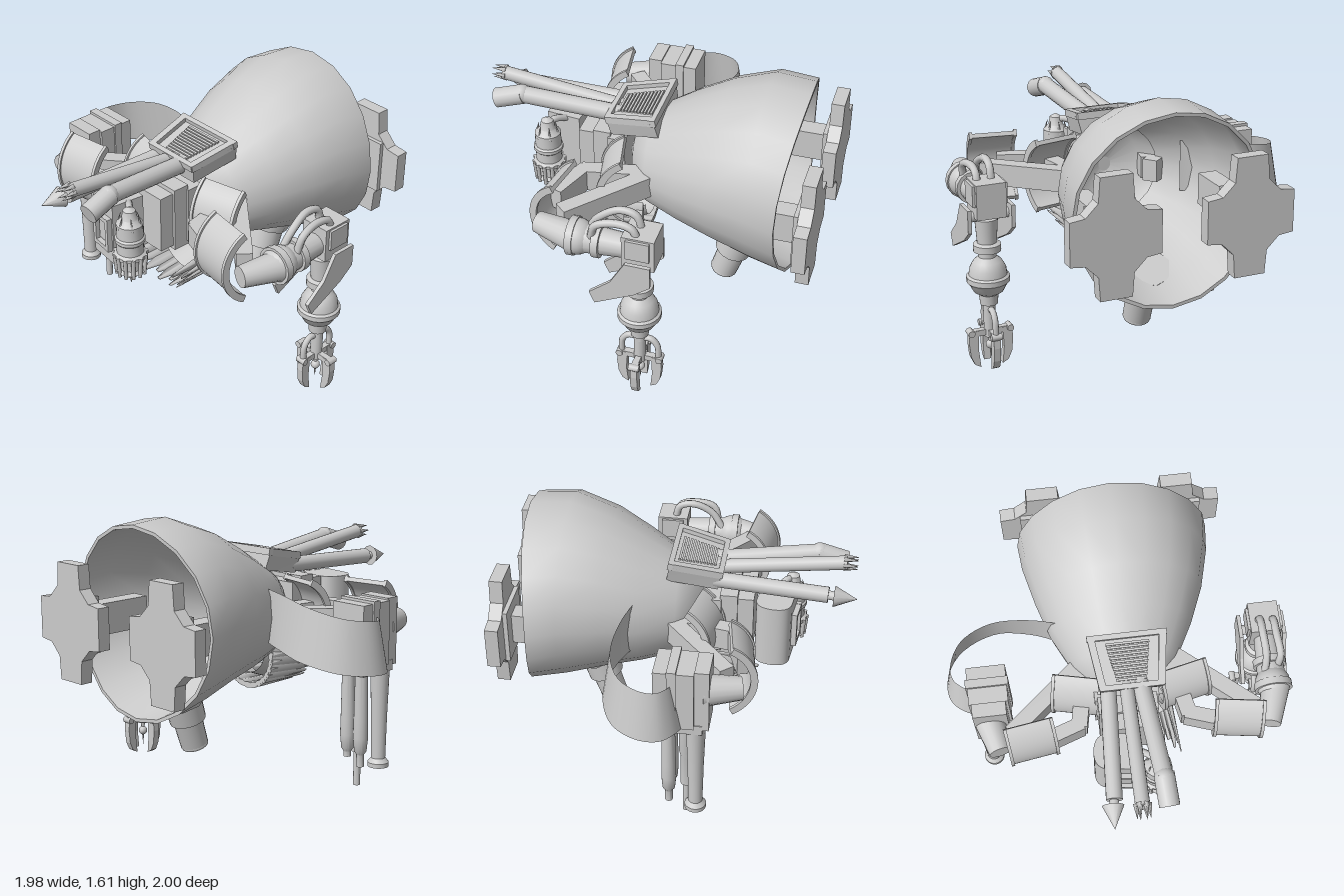
import * as THREE from 'three';
import { toCreasedNormals, mergeVertices } from 'three/addons/utils/BufferGeometryUtils.js';

const V = (x, y, z) => new THREE.Vector3(x, y, z);
const grey = new THREE.MeshStandardMaterial({ color: 0xcccccc, side: THREE.DoubleSide });

export function createModel() {
  const root = new THREE.Group();
  const CX = 0.05; // symmetry line of hull and arms

  const add = (name, geo, x = 0, y = 0, z = 0, parent = root) => {
    const m = new THREE.Mesh(geo, grey);
    m.name = name;
    m.position.set(x, y, z);
    parent.add(m);
    return m;
  };
  const box = (name, w, h, d, x, y, z, parent) => add(name, new THREE.BoxGeometry(w, h, d), x, y, z, parent);
  const aim = (m, axis, a, b) => {
    m.position.copy(a).add(b).multiplyScalar(0.5);
    m.quaternion.setFromUnitVectors(axis, b.clone().sub(a).normalize());
    return m;
  };
  const rod = (name, a, b, ra, rb = ra, sides = 16, parent = root) =>
    aim(add(name, new THREE.CylinderGeometry(rb, ra, a.distanceTo(b), sides), 0, 0, 0, parent), V(0, 1, 0), a, b);
  const bar = (name, a, b, w, h) => aim(add(name, new THREE.BoxGeometry(w, h, a.distanceTo(b))), V(0, 0, 1), a, b);
  const lathe = (name, pts, x, y, z, sides = 20) =>
    add(name, toCreasedNormals(new THREE.LatheGeometry(pts.map(p => new THREE.Vector2(...p)), sides), 0.6), x, y, z);
  const tube = (name, pts, r, parent) =>
    add(name, new THREE.TubeGeometry(new THREE.CatmullRomCurve3(pts), 20, r, 8), 0, 0, 0, parent);
  const polygon = pts => new THREE.Shape(pts.map(p => new THREE.Vector2(...p)));
  const extrude = (shape, depth) => new THREE.ExtrudeGeometry(shape, { depth, bevelEnabled: false, curveSegments: 14 });

  // Surface through rows of points
  const skin = rows => {
    const n = rows[0].length, index = [];
    for (let i = 0; i < rows.length - 1; i++)
      for (let j = 0; j < n - 1; j++) {
        const a = i * n + j, b = a + n;
        index.push(a, a + 1, b, b, a + 1, b + 1);
      }
    let g = new THREE.BufferGeometry().setFromPoints(rows.flat());
    g.setIndex(index);
    g = mergeVertices(g);
    g.computeVertexNormals();
    return g;
  };

  // Bell hull, open at the back: z, left, right, bottom, top
  const sections = [[-0.86, -0.5, 0.61, 0.5, 1.59], [-0.63, -0.485, 0.59, 0.55, 1.61], [-0.4, -0.43, 0.53, 0.62, 1.53],
    [-0.2, -0.365, 0.445, 0.67, 1.42], [0, -0.26, 0.335, 0.72, 1.3], [0.1, -0.17, 0.23, 0.77, 1.24], [0.16, 0.02, 0.03, 1, 1.01]];
  const hullRows = inset => sections.map(([z, l, r, b, t], i) => Array.from({ length: 21 }, (_, j) => {
    const a = j / 20 * Math.PI * 2, c = Math.cos(a), s = Math.sin(a);
    const wave = i === 0 ? 0.06 * c * c : 0;
    return V((l + r) / 2 + ((r - l) / 2 - inset) * c, (b + t) / 2 + ((t - b) / 2 - inset) * s, z + wave);
  }));
  add('hull', skin(hullRows(0)));
  add('hullLining', skin(hullRows(0.02).slice(0, 5)));
  add('hullRim', skin([hullRows(0)[0], hullRows(0.02)[0]]));

  // Rear cross-shaped thruster plates on struts
  const quarter = [[0.255, 0.12], [0.17, 0.13], [0.1, 0.2], [0.09, 0.335]];
  const flip = (sx, sy) => quarter.map(([x, y]) => [x * sx, y * sy]);
  const cross = polygon([...flip(1, 1), ...flip(-1, 1).reverse(), ...flip(-1, -1), ...flip(1, -1).reverse()]);
  for (const s of [-1, 1]) {
    const x = CX + 0.01 + s * 0.385;
    add('thrusterPlate', extrude(cross, 0.075), x, 1.015, -1);
    box('thrusterHub', 0.28, 0.32, 0.03, x, 1.015, -0.915);
    box('thrusterStrut', 0.11, 0.18, 0.43, x, 1.015, -0.7);
  }

  // Curved shield with raised rims, profile bulging to +z
  const arc = (r, t, w) => {
    const sh = new THREE.Shape();
    sh.absarc(0, 0, r, -1.1, 1.1, false);
    sh.absarc(0, 0, r - t, 1.1, -1.1, true);
    return toCreasedNormals(extrude(sh, w).translate(-0.235, 0, -w / 2).rotateY(-Math.PI / 2), 0.5);
  };
  const shield = (name, x, z, turn) => {
    const g = new THREE.Group();
    g.name = name;
    g.position.set(x, 1.005, z);
    g.rotation.y = turn;
    add('plate', arc(0.235, 0.025, 0.27), 0, 0, 0, g);
    for (const e of [-1, 1]) add('edge', arc(0.245, 0.04, 0.018), e * 0.13, 0, 0, g);
    root.add(g);
  };
  for (const s of [-1, 1]) {
    const X = d => CX + s * d;
    shield('outerShield', X(0.57), 0.48, -0.15 * s);
    shield('innerShield', X(0.32), 0.24, 0.22 * s);
    bar('armBar', V(X(0.22), 1, -0.06), V(X(0.69), 1, 0.34), 0.09, 0.13);
    bar('armLink', V(X(0.24), 1, 0), V(X(0.31), 1, 0.35), 0.09, 0.13);
    bar('armLinkEnd', V(X(0.29), 1, 0.33), V(X(0.55), 1, 0.42), 0.08, 0.13);
  }

  // Top hatch: tapered housing with frame and grille
  const hatch = new THREE.Group();
  hatch.name = 'hatch';
  hatch.position.set(CX, 1.29, 0.09);
  hatch.rotation.x = 0.2;
  const taper = (w, h, d) => {
    const g = new THREE.BoxGeometry(w, h, d), p = g.attributes.position;
    for (let i = 0; i < p.count; i++) p.setX(i, p.getX(i) * (1 - 0.7 * p.getZ(i)) * (1 + p.getY(i)));
    g.computeVertexNormals();
    return g;
  };
  add('housing', taper(0.38, 0.1, 0.29), 0, 0, 0, hatch);
  for (const e of [-1, 1]) {
    box('frameEnd', e < 0 ? 0.44 : 0.35, 0.04, 0.03, 0, 0.055, e * 0.14, hatch);
    const side = box('frameSide', 0.04, 0.04, 0.3, e * 0.18, 0.055, 0, hatch);
    side.rotation.y = -e * 0.13;
  }
  for (let i = 0; i < 11; i++) box('slat', 0.24 - i * 0.007, 0.015, 0.013, 0, 0.053, -0.1 + i * 0.02, hatch);
  root.add(hatch);

  // Three tool stalks reaching forward
  rod('dartStalk', V(-0.08, 1.26, 0.2), V(-0.12, 1.24, 0.84), 0.045);
  rod('dartNeck', V(-0.12, 1.24, 0.84), V(-0.13, 1.24, 0.88), 0.025);
  rod('dartTip', V(-0.13, 1.24, 0.87), V(-0.135, 1.235, 1), 0.06, 0, 12);
  rod('talonStalk', V(0.02, 1.28, 0.2), V(0.02, 1.37, 0.93), 0.04);
  for (let i = 0; i < 6; i++) {
    const a = i * Math.PI / 3, x = 0.02 + 0.032 * Math.cos(a), y = 1.37 + 0.032 * Math.sin(a);
    rod('talon', V(x, y, 0.91), V(x * 1.15 - 0.003, y, 0.995), 0.018, 0, 4);
  }
  rod('bentStalk', V(0.1, 1.28, 0.2), V(0.155, 1.34, 0.78), 0.05);
  rod('bentStalkEnd', V(0.155, 1.34, 0.76), V(0.165, 1.29, 0.92), 0.057);
  add('stalkElbow', new THREE.SphereGeometry(0.055, 14, 10), 0.155, 1.34, 0.77);

  // Sensor head: rounded on its outer side, with framed window
  for (let i = 0; i < 3; i++) box('headSlab', 0.36 - i * 0.03, 0.34 + (i % 2) * 0.05, 0.1, 0.02, 1, 0.2 + i * 0.09);
  const head = new THREE.Group();
  head.name = 'sensorHead';
  head.position.set(-0.07, 0.985, 0.55);
  head.rotation.y = -0.12;
  const plan = new THREE.Shape();
  plan.moveTo(0.125, 0.1);
  plan.lineTo(0.125, -0.1);
  plan.lineTo(-0.06, -0.1);
  plan.quadraticCurveTo(-0.13, -0.09, -0.13, 0);
  plan.quadraticCurveTo(-0.13, 0.09, -0.06, 0.1);
  add('case', toCreasedNormals(extrude(plan, 0.38).rotateX(Math.PI / 2), 0.6), 0, 0.18, 0, head);
  box('window', 0.08, 0.13, 0.02, 0.04, -0.01, 0.1, head);
  for (const e of [-1, 1]) {
    box('frameSide', 0.025, 0.21, 0.04, 0.04 + e * 0.06, -0.01, 0.11, head);
    box('frameBar', 0.12, 0.025, 0.04, 0.04, -0.01 + e * 0.09, 0.11, head);
  }
  root.add(head);

  // Hanging lantern tool
  lathe('lantern', [[0, 0.7], [0.012, 0.75], [0.04, 0.76], [0.05, 0.79], [0.085, 0.8], [0.07, 0.82], [0.07, 0.88], [0.09, 0.89],
    [0.09, 0.91], [0.075, 0.92], [0.075, 0.98], [0.085, 0.99], [0.085, 1.01], [0.075, 1.02], [0.075, 1.1], [0.045, 1.13], [0.035, 1.18], [0, 1.2]], 0.145, 0, 0.63);
  for (let i = 0; i < 12; i++) {
    const a = i * Math.PI / 6, c = Math.cos(a), s = Math.sin(a);
    rod('cageBar', V(0.145 + 0.078 * c, 0.78, 0.63 + 0.078 * s), V(0.145 + 0.088 * c, 0.91, 0.63 + 0.088 * s), 0.011, 0.013, 6);
    if (i % 2) rod('crownTooth', V(0.145 + 0.068 * c, 1.08, 0.63 + 0.068 * s), V(0.145 + 0.05 * c, 1.16, 0.63 + 0.05 * s), 0.012, 0, 4);
  }
  tube('lanternHook', [V(0.145, 1.15, 0.63), V(0.11, 1.17, 0.6), V(0.03, 1.14, 0.54)], 0.02);

  // Collar of flat overlapping leaves around a half bowl under the front
  const bowl = new THREE.CylinderGeometry(0.2, 0.14, 0.16, 20, 1, true, -Math.PI / 2, Math.PI);
  add('collarBowl', bowl.rotateX(Math.PI / 2), 0.08, 0.76, 0.1);
  for (let i = 0; i < 15; i++) {
    const leaf = new THREE.Group();
    leaf.name = 'collarLeaf';
    leaf.position.set(0.08, 0.76, 0);
    leaf.rotation.z = (i / 14 - 0.5) * 3;
    const low = Math.cos(leaf.rotation.z);
    const blade = rod('blade', V(0, -0.19 - 0.03 * low, 0.02), V(0.01, -0.23, 0.48 - 0.14 * low - (i % 2) * 0.04), 0.075, 0.012, 4, leaf);
    blade.scale.z = 0.25;
    root.add(leaf);
  }

  // Belly nozzle
  rod('nozzleMount', V(0.07, 0.62, -0.53), V(0.07, 0.54, -0.5), 0.16, 0.13, 8);
  rod('nozzleBase', V(0.07, 0.6, -0.52), V(0.07, 0.43, -0.467), 0.11, 0.105, 20);
  rod('nozzle', V(0.07, 0.45, -0.475), V(0.07, 0.28, -0.42), 0.085, 0.08, 20);
  const lip = add('nozzleLip', new THREE.TorusGeometry(0.065, 0.016, 8, 20), 0.07, 0.275, -0.418);
  lip.rotation.x = Math.PI / 2 - 0.3;

  // Right-hand gun arm: box, elbow, barrels and feed ribbon
  rod('gunElbow', V(-0.76, 1, 0.22), V(-0.71, 1, 0.43), 0.09, 0.065);
  box('gunBox', 0.22, 0.36, 0.22, -0.745, 0.98, 0.08);
  box('gunBoxFront', 0.19, 0.38, 0.08, -0.745, 0.98, 0.23);
  box('gunBoxBand', 0.24, 0.39, 0.05, -0.745, 0.98, 0.07);
  box('gunTray', 0.2, 0.06, 0.25, -0.745, 0.79, 0.11);
  lathe('flaredBarrel', [[0, 0.2], [0.06, 0.2], [0.06, 0.225], [0.04, 0.25], [0.045, 0.5], [0.055, 0.8]], -0.79, 0, 0.195);
  lathe('longBarrel', [[0, 0.08], [0.02, 0.08], [0.02, 0.28], [0.032, 0.28], [0.032, 0.48], [0.042, 0.52], [0.042, 0.8]], -0.69, 0, 0.13);
  for (const [x, y] of [[-0.785, 0], [-0.69, 0.04]])
    lathe('shortBarrel', [[0, 0.23 + y], [0.022, 0.23 + y], [0.022, 0.3], [0.035, 0.32], [0.042, 0.4], [0.04, 0.5], [0.035, 0.8]], x, 0, 0.045);
  const path = new THREE.CatmullRomCurve3([V(-0.29, 1.21, -0.21), V(-0.47, 1.2, -0.26), V(-0.7, 1.16, -0.28), V(-0.87, 1.12, -0.21),
    V(-0.94, 1.1, -0.09), V(-0.935, 1.09, 0), V(-0.89, 1.09, 0.05), V(-0.83, 1.08, 0.08)]);
  add('feedRibbon', skin(Array.from({ length: 33 }, (_, i) => {
    const p = path.getPoint(i / 32), t = path.getTangent(i / 32), lean = 0.05 * Math.min(1, i / 8);
    return [p, V(p.x - t.z * lean, p.y - 0.3 + 0.02 * i / 32, p.z + t.x * lean)];
  })));

  // Left-hand claw arm: shoulder and forearm housing
  rod('clawElbow', V(0.87, 1, 0.22), V(0.81, 1, 0.44), 0.085, 0.06);
  add('shoulderBall', new THREE.SphereGeometry(0.1, 20, 14), 0.86, 1, 0.2);
  rod('shoulderRing', V(0.86, 1, 0.24), V(0.86, 1, 0.2), 0.108);
  rod('upperArm', V(0.86, 1, 0.2), V(0.86, 1, -0.1), 0.085, 0.065);
  rod('upperArmCollar', V(0.86, 1, 0.1), V(0.86, 1, 0.06), 0.095);
  box('forearmHousing', 0.17, 0.2, 0.18, 0.855, 1.02, -0.16);
  box('forearmCap', 0.2, 0.12, 0.13, 0.855, 1.05, -0.16);
  const fin = polygon([[0.1, 0.74], [0.07, 0.67], [-0.15, 0.78], [-0.24, 0.85], [-0.24, 0.98], [-0.1, 0.98], [-0.02, 0.84]]);
  for (const x of [0.72, 0.97]) {
    add('guardFin', extrude(fin, 0.022).rotateY(-Math.PI / 2), x + 0.02, 0, 0);
    rod('finPin', V(0.855, 0.92, -0.17), V(x, 0.92, -0.17), 0.03, 0.03, 10);
  }
  for (const [x, lift] of [[0.82, 0], [0.9, -0.03]])
    tube('hose', [V(x, 1.05, 0.14 + lift), V(x + 0.01, 1.14, 0.08), V(x, 1.2 + lift, -0.03), V(x, 1.18 + lift, -0.12), V(x, 1.08, -0.15)], 0.022);

  // Forearm with ringed ball, ending in the claw
  lathe('forearm', [[0, 0.34], [0.035, 0.34], [0.035, 0.38], [0.05, 0.38], [0.055, 0.44], [0.085, 0.46], [0.105, 0.5], [0.122, 0.52], [0.122, 0.55],
    [0.108, 0.56], [0.102, 0.6], [0.08, 0.64], [0.05, 0.665], [0.05, 0.69], [0.078, 0.7], [0.078, 0.74], [0.055, 0.75], [0.065, 0.89], [0, 0.92]], 0.855, 0, -0.14, 24);
  const claw = new THREE.Group();
  claw.name = 'claw';
  claw.position.set(0.855, 0, -0.14);
  const blade = polygon([[0.07, 0.225], [0.125, 0.225], [0.13, 0.15], [0.122, 0.07], [0.1, 0.02], [0.065, 0], [0.075, 0.1]]);
  for (let i = 0; i < 4; i++) {
    const f = new THREE.Group();
    f.name = 'clawFinger';
    f.rotation.y = i * Math.PI / 2;
    add('blade', extrude(blade, 0.04), 0, 0, -0.02, f);
    box('crossArm', 0.12, 0.035, 0.035, 0.065, 0.21, 0, f);
    rod('knuckle', V(0.115, 0.215, -0.03), V(0.115, 0.215, 0.03), 0.02, 0.02, 10, f);
    if (i % 2) tube('linkage', [V(0.02, 0.35, 0), V(0.065, 0.35, 0), V(0.1, 0.31, 0), V(0.108, 0.21, 0)], 0.018, f);
    claw.add(f);
  }
  rod('clawCore', V(0, 0.35, 0), V(0, 0.18, 0), 0.035, 0.035, 12, claw);
  rod('clawNeedle', V(0, 0.2, 0), V(0, 0.03, 0), 0.015, 0, 8, claw);
  add('clawBead', new THREE.SphereGeometry(0.027, 12, 8), 0, 0.125, 0, claw);
  root.add(claw);

  return root;
}
